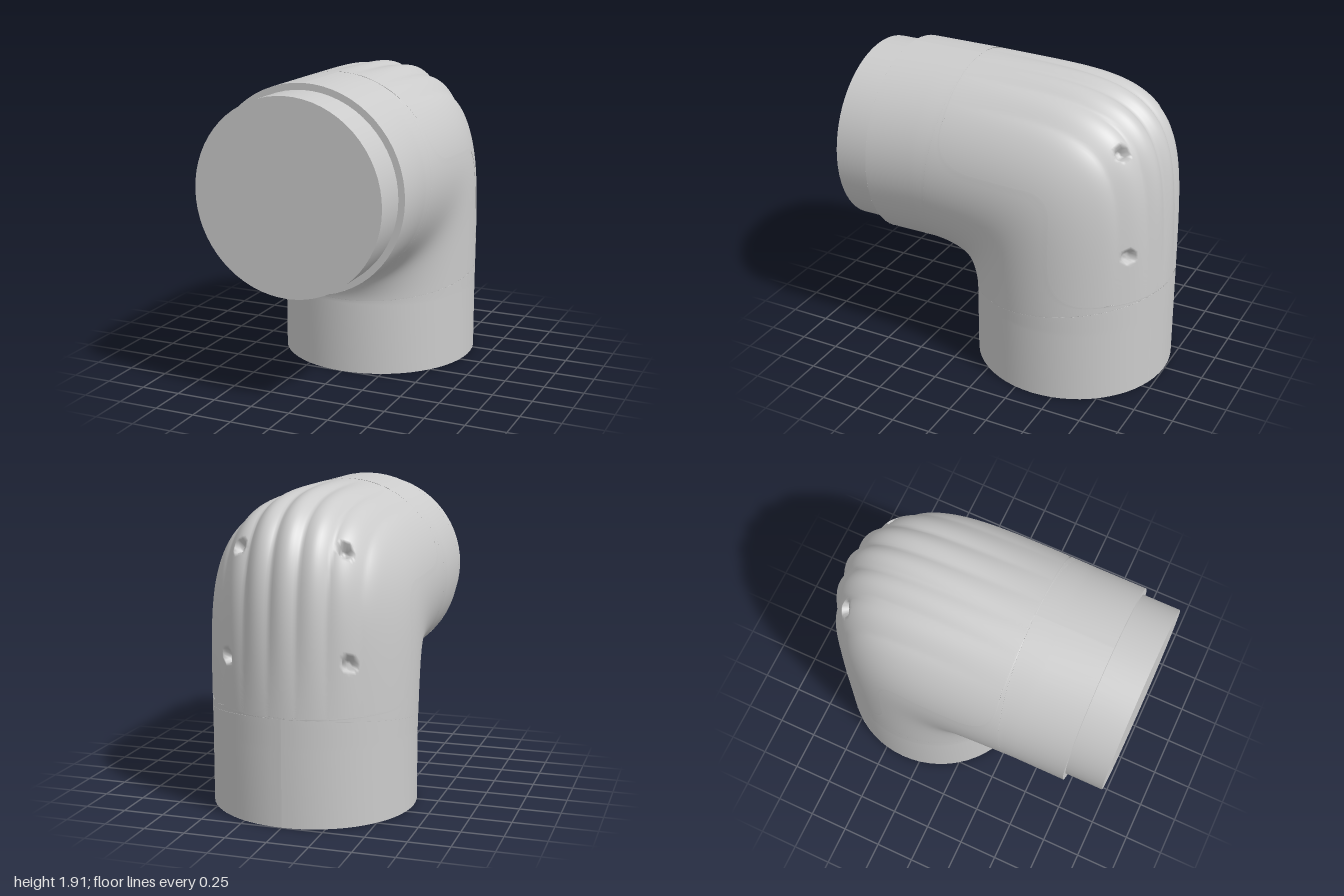
import * as THREE from 'three';

const material = new THREE.MeshStandardMaterial({ color: 0xcccccc, side: THREE.DoubleSide });

// The bend is a fan of elliptical sections around a pivot line parallel to x.
const PIVOT = { y: 0.45, z: 0.45 };
const RADIUS = 0.625, NECK_END = 0.765, AXIS_Y = 1.285, AXIS_Z = -0.372;
const FULL = Math.PI / 2;

// Middle and half length of the section at fan angle phi.
function section(phi) {
  const inner = THREE.MathUtils.lerp(0.21, 0.195, phi / FULL);
  const n = 5.4;
  const outer = Math.pow(
    Math.pow(Math.abs(Math.sin(phi)) / 1.447, n) + Math.pow(Math.abs(Math.cos(phi)) / 1.46, n), -1 / n);
  return { mid: (inner + outer) / 2, half: (outer - inner) / 2 };
}

// Point on the elbow; theta = 0 is the outside of the bend, positive towards +x.
function basePoint(phi, theta, scale = 1) {
  const { mid, half } = section(phi);
  const rho = mid + half * Math.cos(theta) * scale;
  const width = RADIUS + 0.008 * Math.sin(2 * phi);
  return new THREE.Vector3(
    width * Math.sin(theta) * scale,
    PIVOT.y + rho * Math.cos(phi),
    PIVOT.z - rho * Math.sin(phi));
}

// Screw recesses, two on each side
const holes = [];
for (const s of [-1, 1]) {
  holes.push(basePoint(0.823, s * 0.53), basePoint(1.198, s * 0.63));
}

// Cover surface with shallow flutes over the knuckle and round screw recesses
function coverPoint(phi, theta) {
  const p = basePoint(phi, theta);
  const fade = Math.sin(2 * phi) ** 2 * Math.max(0, Math.cos(theta * 1.7)) * (Math.abs(theta) < 0.92 ? 1 : 0);
  let sink = 0.028 * fade * (1 - Math.abs(Math.cos(Math.PI * p.x / 0.17)));
  for (const h of holes) {
    sink += 0.05 * (1 - THREE.MathUtils.smoothstep(p.distanceTo(h), 0.03, 0.047));
  }
  return basePoint(phi, theta, 1 - sink / RADIUS);
}

// Side outline of the cover as (z, y), shifted towards the cover by `shift`
function seamRows(shift, count) {
  const path = new THREE.Path();
  path.moveTo(0.28, 1.92);
  path.lineTo(0.28, 1.64);
  path.quadraticCurveTo(0.28, 1.39, 0.02, 1.39);
  path.lineTo(-0.3, 1.375);
  path.quadraticCurveTo(-0.46, 1.37, -0.46, 1.2);
  path.lineTo(-0.46, 0.92);
  path.quadraticCurveTo(-0.46, 0.66, -0.72, 0.66);
  path.lineTo(-1.01, 0.65);
  const rows = [];
  for (let i = 0; i <= count; i++) {
    const t = i / count;
    const p = path.getPointAt(t - 0.65 * Math.sin(2 * Math.PI * t) / (2 * Math.PI));
    const dz = PIVOT.z - (p.x - shift), dy = p.y + shift - PIVOT.y;
    const phi = Math.atan2(dz, dy);
    const { mid, half } = section(phi);
    const c = THREE.MathUtils.clamp((Math.hypot(dz, dy) - mid) / half, -1, 1);
    rows.push({ phi, edge: Math.acos(c) });
  }
  return rows;
}

// Smooth patch from rows of equally many points
function patch(name, rowCount, cols, pointAt) {
  const pos = [], index = [];
  for (let r = 0; r < rowCount; r++) {
    for (let c = 0; c <= cols; c++) {
      const p = pointAt(r, c / cols);
      pos.push(p.x, p.y, p.z);
      if (r < rowCount - 1 && c < cols) {
        const a = r * (cols + 1) + c, b = a + cols + 1;
        index.push(a, a + 1, b, a + 1, b + 1, b);
      }
    }
  }
  const g = new THREE.BufferGeometry();
  g.setAttribute('position', new THREE.Float32BufferAttribute(pos, 3));
  g.setIndex(index);
  g.computeVertexNormals();
  const mesh = new THREE.Mesh(g, material);
  mesh.name = name;
  return mesh;
}

// Tube wall that leaves an opening for the cover and runs on to both straight ends
function wall(name, shift, cols, scale) {
  const rows = seamRows(shift, 260);
  const first = rows[0].phi, last = rows[rows.length - 1].phi;
  const before = [{ phi: 0, edge: 0, neck: true }], after = [];
  for (let i = 0; i < 4; i++) {
    before.push({ phi: first * i / 4, edge: 0 });
    after.push({ phi: last + (FULL - last) * (i + 1) / 4, edge: 0 });
  }
  after.push({ phi: FULL, edge: 0, foot: true });
  const all = [...before, ...rows, ...after];
  return patch(name, all.length, cols, (r, u) => {
    const { phi, edge, neck, foot } = all[r];
    const p = basePoint(phi, edge + u * 2 * (Math.PI - edge), scale);
    if (neck) p.z = NECK_END;
    if (foot) p.y = 0;
    return p;
  });
}

function add(group, name, geometry, rotationX, y, z) {
  const mesh = new THREE.Mesh(geometry, material);
  mesh.name = name;
  mesh.rotation.x = rotationX;
  mesh.position.set(0, y, z);
  group.add(mesh);
}

export function createModel() {
  const group = new THREE.Group();
  group.name = 'elbowJoint';
  const gap = 0.004;

  // Main elbow housing and the floor of the seam around the cover
  group.add(wall('elbowHousing', -gap, 60, 1));
  group.add(wall('seamFloor', 0.03, 40, 0.982));

  // Fluted back cover
  const rows = seamRows(gap, 260);
  group.add(patch('backCover', rows.length, 110, (r, u) =>
    coverPoint(rows[r].phi, (2 * u - 1) * rows[r].edge)));

  // End faces and the narrower front spigot
  add(group, 'neckFace', new THREE.CircleGeometry(RADIUS, 64), 0, AXIS_Y, NECK_END);
  add(group, 'footFace', new THREE.CircleGeometry(RADIUS, 64), Math.PI / 2, 0, AXIS_Z);
  add(group, 'frontSpigot', new THREE.CylinderGeometry(0.585, 0.585, 0.3, 64), Math.PI / 2, AXIS_Y, 0.85);
  return group;
}
